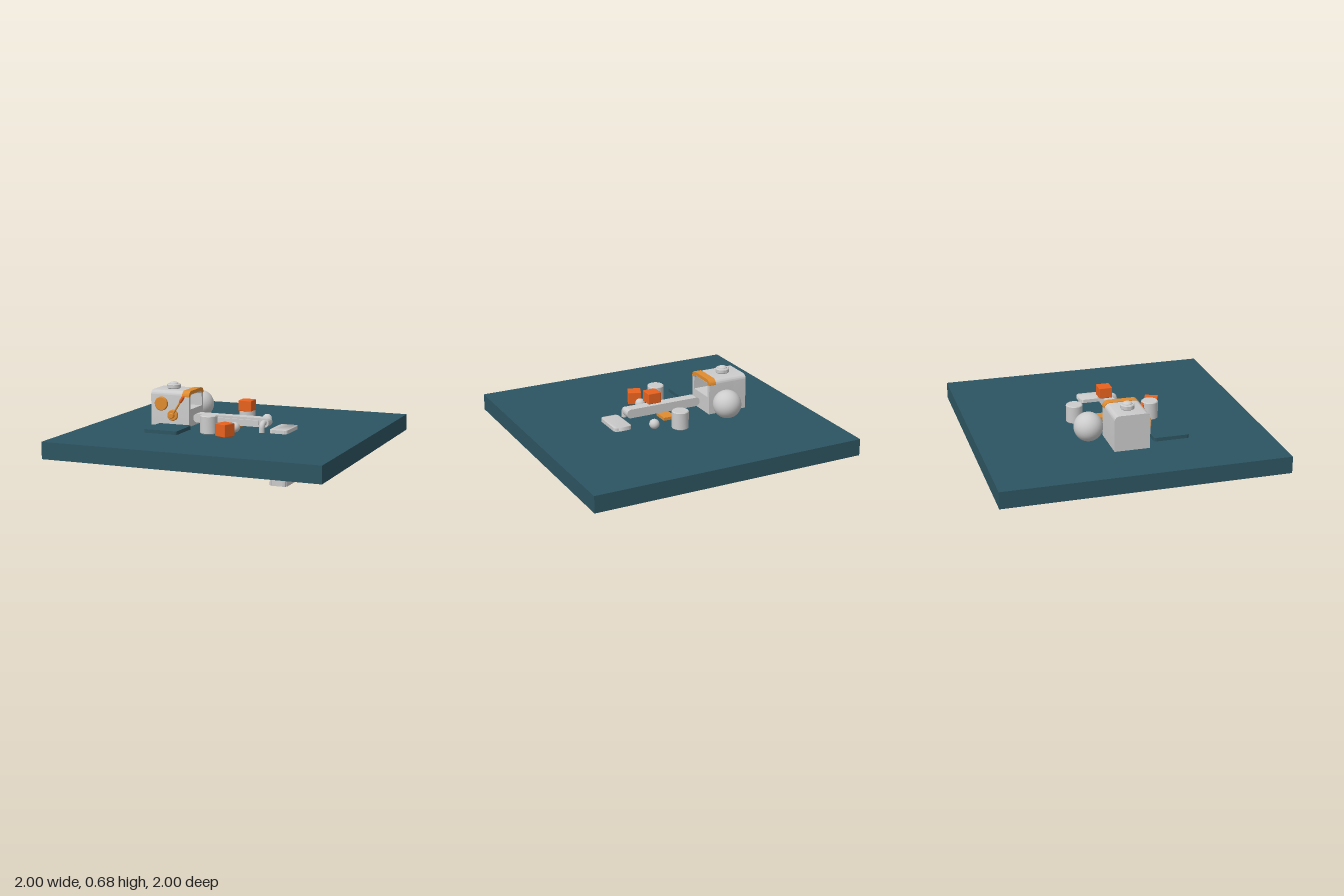
import * as THREE from 'three';
import { mergeVertices, toCreasedNormals } from 'three/addons/utils/BufferGeometryUtils.js';
import { RoundedBoxGeometry } from 'three/addons/geometries/RoundedBoxGeometry.js';

const TOP = 0.375; // upper surface of the base slab
const mat = (color) => new THREE.MeshStandardMaterial({ color });
const grey = mat(0xcccccc), teal = mat(0x2d5562), amber = mat(0xe08c30), red = mat(0xe8621f);

// Rounded rectangle outline, with separate radii for lower and upper corners
function roundRect(x0, y0, x1, y1, lower, upper = lower, Kind = THREE.Shape) {
  const s = new Kind();
  s.moveTo(x0 + lower, y0).lineTo(x1 - lower, y0);
  if (lower) s.absarc(x1 - lower, y0 + lower, lower, -Math.PI / 2, 0);
  s.lineTo(x1, y1 - upper).absarc(x1 - upper, y1 - upper, upper, 0, Math.PI / 2);
  s.lineTo(x0 + upper, y1).absarc(x0 + upper, y1 - upper, upper, Math.PI / 2, Math.PI);
  s.lineTo(x0, y0 + lower);
  if (lower) s.absarc(x0 + lower, y0 + lower, lower, Math.PI, Math.PI * 1.5);
  return s;
}

const extrude = (shape, depth) =>
  toCreasedNormals(new THREE.ExtrudeGeometry(shape, { depth, bevelEnabled: false, curveSegments: 8 }), 0.6);

// Cylinder with softened rims, standing on its base
function softCylinder(r, h, b = 0.006) {
  const p = [[0, 0], [r - b, 0], [r, b], [r, h - b], [r - b, h], [0, h]];
  return toCreasedNormals(new THREE.LatheGeometry(p.map(([x, y]) => new THREE.Vector2(x, y)), 32), 0.6);
}

export function createModel() {
  const model = new THREE.Group();
  model.name = 'machineDiorama';
  const add = (name, geometry, material, x = 0, y = 0, z = 0, parent = model) => {
    const mesh = new THREE.Mesh(geometry, material);
    mesh.name = name;
    mesh.position.set(x, y, z);
    parent.add(mesh);
    return mesh;
  };

  // Base slab and floor pads
  add('baseSlab', new THREE.BoxGeometry(2, 0.12, 2), teal, 0, 0.315, 0);
  add('floorPad', extrude(roundRect(-0.127, -0.127, 0.127, 0.127, 0.018), 0.026), teal, -0.382, TOP, 0.31)
    .rotation.x = -Math.PI / 2;
  add('floorPlate', new THREE.BoxGeometry(0.088, 0.022, 0.115), amber, 0, TOP + 0.011, -0.03);

  // Machine housing, with a recessed mouth facing the conveyor
  const machine = new THREE.Group();
  machine.name = 'machine';
  model.add(machine);
  const body = () => roundRect(-0.125, TOP, 0.125, 0.63, 0, 0.035);
  const mouthBody = body();
  mouthBody.holes.push(roundRect(-0.1, 0.5, 0.1, 0.605, 0, 0.02, THREE.Path));
  add('housingBack', extrude(body(), 0.1), grey, -0.6, 0, 0, machine).rotation.y = Math.PI / 2;
  add('housingMouth', extrude(mouthBody, 0.2), grey, -0.5, 0, 0, machine).rotation.y = Math.PI / 2;

  // Arched trim over the mouth
  const arch = new THREE.Shape();
  arch.moveTo(0.129, 0.592).absarc(0.089, 0.594, 0.04, 0, Math.PI / 2);
  arch.absarc(-0.089, 0.594, 0.04, Math.PI / 2, Math.PI);
  arch.lineTo(-0.129, 0.592).lineTo(-0.102, 0.592);
  arch.absarc(-0.085, 0.592, 0.017, Math.PI, Math.PI / 2, true);
  arch.absarc(0.085, 0.592, 0.017, Math.PI / 2, 0, true);
  add('mouthTrim', extrude(arch, 0.055), amber, -0.353, 0, 0, machine).rotation.y = Math.PI / 2;

  // Roof cap with a small dome
  add('roofCap', softCylinder(0.05, 0.035), grey, -0.475, 0.63, 0, machine);
  const dome = add('roofDome', new THREE.SphereGeometry(0.034, 24, 10, 0, Math.PI * 2, 0, Math.PI / 2),
    grey, -0.475, 0.664, 0, machine);
  dome.scale.y = 0.5;

  // Dials on the front wall
  const dial = (name, r, depth, x, y, z) => {
    add(name, softCylinder(r, depth, 0.004), amber, x, y, z, machine).rotation.x = Math.PI / 2;
  };
  dial('upperDial', 0.05, 0.022, -0.515, 0.535, 0.123);
  dial('leverPivot', 0.04, 0.022, -0.425, 0.455, 0.123);
  dial('leverHub', 0.02, 0.04, -0.425, 0.455, 0.128);

  // Lever with a red grip
  const lever = new THREE.Group();
  lever.name = 'lever';
  lever.position.set(-0.425, 0.455, 0.146);
  lever.rotation.z = -0.57;
  machine.add(lever);
  add('leverRod', new THREE.CylinderGeometry(0.007, 0.007, 0.14, 12), amber, 0, 0.07, 0, lever);
  add('leverGrip', new THREE.CapsuleGeometry(0.012, 0.035, 6, 16), red, 0, 0.145, 0, lever);

  // Conveyor with rounded ends and a raised side panel
  add('conveyor', extrude(roundRect(-0.29, 0.403, 0.29, 0.468, 0.03), 0.075), grey);
  add('conveyorPanel', extrude(roundRect(-0.22, 0.418, 0.215, 0.452, 0.008), 0.014), grey, 0, 0, 0.074);

  // Bent pipe from the conveyor down to the floor
  const bend = new THREE.CurvePath();
  const v = (y, z) => new THREE.Vector3(0.257, y, z);
  bend.add(new THREE.LineCurve3(v(0.438, 0.05), v(0.438, 0.085)));
  bend.add(new THREE.QuadraticBezierCurve3(v(0.438, 0.085), v(0.438, 0.12), v(0.405, 0.12)));
  bend.add(new THREE.LineCurve3(v(0.405, 0.12), v(0.37, 0.12)));
  add('pipe', new THREE.TubeGeometry(bend, 24, 0.02, 16, false), new THREE.MeshStandardMaterial({
    color: 0xcccccc, side: THREE.DoubleSide }));

  // Soft-shaded chute block passing through the slab
  let chute = new THREE.ExtrudeGeometry(roundRect(-0.067, -0.125, 0.067, 0.125, 0.03),
    { depth: 0.4, bevelEnabled: false, curveSegments: 5 });
  chute.deleteAttribute('normal');
  chute.deleteAttribute('uv');
  chute = mergeVertices(chute);
  chute.computeVertexNormals();
  add('chute', chute, grey, 0.378, 0, 0).rotation.x = -Math.PI / 2;

  // Loose spheres
  for (const [name, r, x, y, z] of [
    ['largeBall', 0.102, -0.377, 0.485, -0.248],
    ['rearSmallBall', 0.036, 0.176, 0.416, -0.197],
    ['frontSmallBall', 0.036, 0.088, 0.416, 0.206],
  ]) add(name, new THREE.SphereGeometry(r, 32, 20), grey, x, y, z);

  // Loose cylinders
  add('rearDrum', softCylinder(0.06, 0.13), grey, 0, TOP, -0.25);
  add('frontDrum', softCylinder(0.06, 0.13), grey, -0.077, TOP, 0.285);

  // Crates: one above the conveyor, one on the floor
  add('conveyorCrate', new RoundedBoxGeometry(0.098, 0.078, 0.096, 2, 0.005), red, 0.097, 0.542, -0.003);
  add('floorCrate', new RoundedBoxGeometry(0.097, 0.092, 0.097, 2, 0.005), red, 0.069, TOP + 0.046, 0.342)
    .rotation.y = -0.4;

  return model;
}
